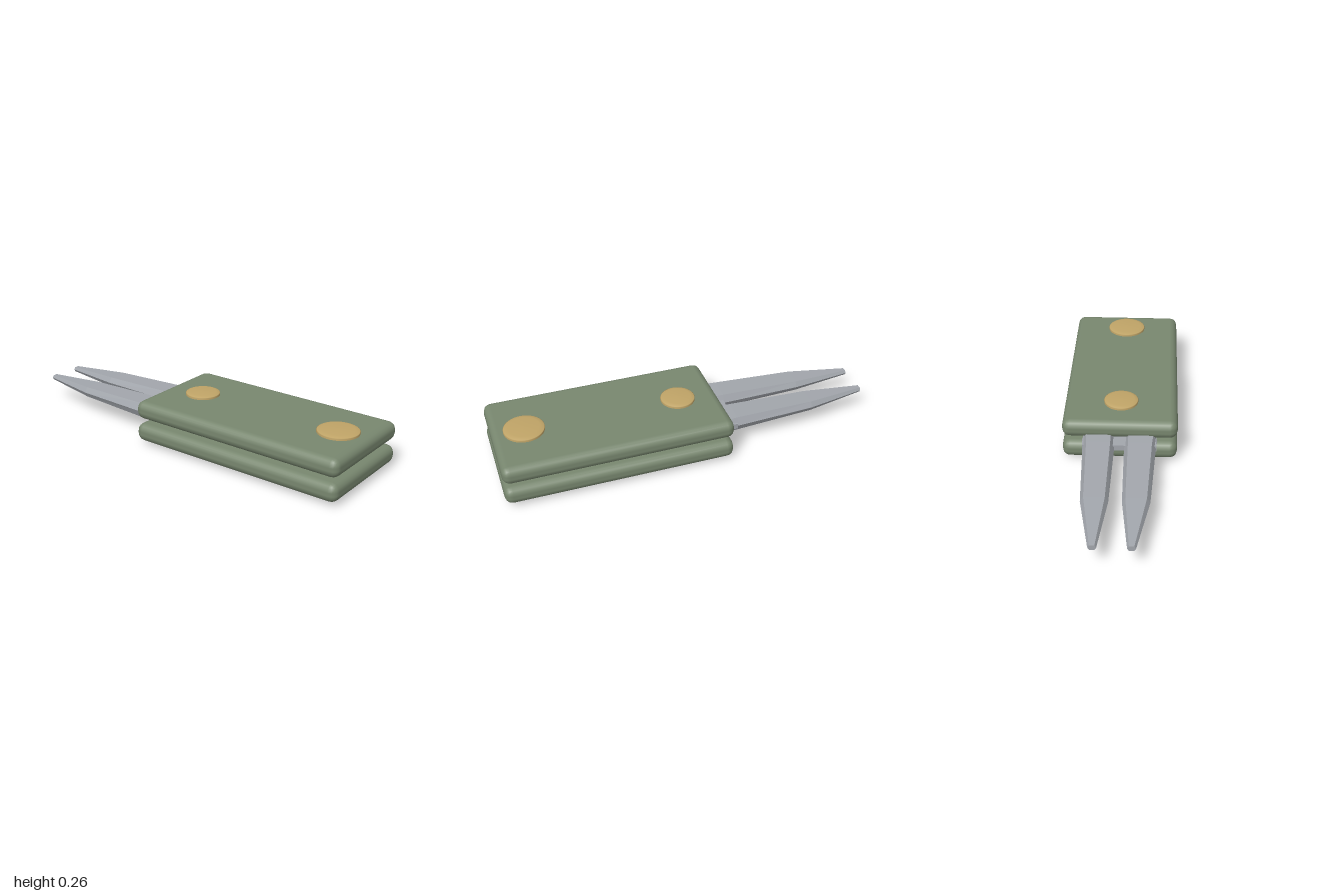
import * as THREE from 'three';
import { RoundedBoxGeometry } from 'three/addons/geometries/RoundedBoxGeometry.js';

const MID = 0.1285; // height of the centre plane

// Tapered hexagonal bar from sections [z, inner x, outer x, half height, edge bevel]
function prongGeometry(sections) {
  const rings = sections.map(([z, a, b, h, e]) => [
    [b, 0], [b - e, h], [a + e, h], [a, 0], [a + e, -h], [b - e, -h],
  ].map(([x, y]) => new THREE.Vector3(x, y, z)));
  const pos = [];
  const tri = (...pts) => pts.forEach((p) => pos.push(p.x, p.y, p.z));
  for (let i = 0; i < rings.length - 1; i++) {
    for (let j = 0; j < 6; j++) {
      const k = (j + 1) % 6;
      const a = rings[i][j], b = rings[i][k], c = rings[i + 1][k], d = rings[i + 1][j];
      tri(a, c, b);
      tri(a, d, c);
    }
  }
  const first = rings[0], last = rings[rings.length - 1];
  for (let j = 1; j < 5; j++) {
    tri(first[0], first[j], first[j + 1]);
    tri(last[0], last[j + 1], last[j]);
  }
  const geo = new THREE.BufferGeometry();
  geo.setAttribute('position', new THREE.Float32BufferAttribute(pos, 3));
  geo.computeVertexNormals(); // unshared corners keep the facets flat
  return geo;
}

// Low rivet head with a bevelled rim and a slight dome
function rivetGeometry(r) {
  const rim = [[r, -0.012], [r, 0.009], [r - 0.003, 0.011], [r * 0.76, 0.0175], [0, 0.0185]];
  return new THREE.LatheGeometry(rim.map(([x, y]) => new THREE.Vector2(x, y)), 40);
}

export function createModel() {
  const model = new THREE.Group();
  const green = new THREE.MeshStandardMaterial({ color: 0x78876f });
  const brass = new THREE.MeshStandardMaterial({ color: 0xc0a467 });
  const steel = new THREE.MeshStandardMaterial({ color: 0xa2a6ac });
  green.name = 'green handle';
  brass.name = 'brass';
  steel.name = 'steel';

  const add = (name, geo, mat, x, y, z) => {
    const mesh = new THREE.Mesh(geo, mat);
    mesh.name = name;
    mesh.position.set(x, y, z);
    model.add(mesh);
    return mesh;
  };

  // Handle scales and rivet heads, mirrored above and below the centre plane
  for (const [side, s] of [['upper', 1], ['lower', -1]]) {
    add(side + 'Scale', new RoundedBoxGeometry(0.596, 0.096, 1.19, 2, 0.04), green, 0, MID + s * 0.062, 0.405);
    for (const [name, r, z] of [['RearRivet', 0.105, 0.835], ['PivotRivet', 0.09, 0.025]]) {
      const rivet = add(side + name, rivetGeometry(r), brass, 0, MID + s * 0.11, z);
      if (s < 0) rivet.rotation.x = Math.PI;
    }
  }

  // Spacer between the scales
  add('spacer', new THREE.CylinderGeometry(0.113, 0.113, 0.034, 40), brass, 0, MID, 0.835);

  // Flat tang holding the fork
  add('tang', new THREE.BoxGeometry(0.38, 0.03, 1.085), steel, 0, MID, 0.2975);

  // Twin prongs, mirrored left and right
  const spans = [
    [-0.17, 0.025, 0.194, 0.04, 0.02],
    [-0.25, 0.025, 0.187, 0.04, 0.02],
    [-0.68, 0.032, 0.166, 0.028, 0.016],
    [-1.0, 0.068, 0.108, 0.013, 0.008],
  ];
  for (const [name, s] of [['leftProng', 1], ['rightProng', -1]]) {
    const geo = prongGeometry(spans.map(([z, a, b, h, e]) => (s > 0 ? [z, a, b, h, e] : [z, -b, -a, h, e])));
    add(name, geo, steel, 0, MID, 0);
  }
  return model;
}
